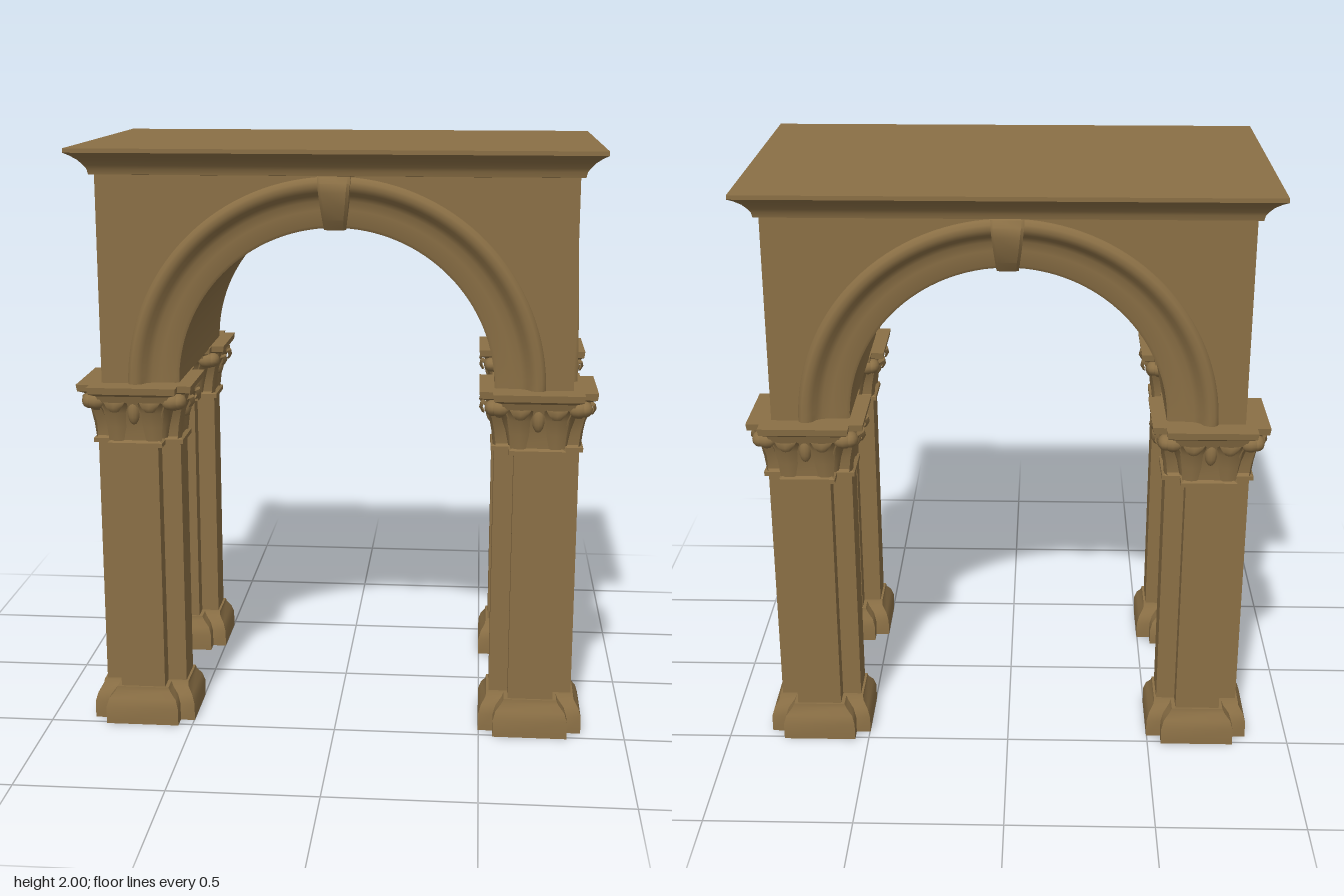
import * as THREE from 'three';
import { toCreasedNormals } from 'three/addons/utils/BufferGeometryUtils.js';

const SPRING = 1.21, WALL_X = 0.79, WALL_Z = 0.452, VAULT_R = 0.53;

// Skin between successive rows of [x, y, z] points
function loft(rows, closed = false, crease = 0.6) {
  const n = rows[0].length, index = [];
  for (let r = 0; r < rows.length - 1; r++) {
    for (let i = 0; i < (closed ? n : n - 1); i++) {
      const j = (i + 1) % n, a = r * n + i, b = r * n + j;
      index.push(a, a + n, b, b, a + n, b + n);
    }
  }
  const g = new THREE.BufferGeometry();
  g.setAttribute('position', new THREE.Float32BufferAttribute(rows.flat(2), 3));
  g.setIndex(index);
  return toCreasedNormals(g, crease);
}

// Rectangle with re-entrant corners, at height y
function notched(hx, hz, n, y) {
  const corner = [[hx, hz - n], [hx - n, hz - n], [hx - n, hz]];
  const pts = [];
  for (const [sx, sz] of [[1, 1], [-1, 1], [-1, -1], [1, -1]]) {
    const c = corner.map(([x, z]) => [x * sx, y, z * sz]);
    pts.push(...(sx * sz > 0 ? c : c.reverse()));
  }
  return pts;
}

const rectangle = (hx, hz, y) => [[hx, y, -hz], [hx, y, hz], [-hx, y, hz], [-hx, y, -hz]];

// Softly pointed arch as [z, y] points for a given half width
function pointedArch(h, steps = 48) {
  const pts = [];
  for (let i = 0; i <= steps; i++) {
    const t = Math.sin(Math.PI * i / steps);
    const w = Math.pow(Math.max(0, 1 - Math.pow(t, 1.75)), 0.6);
    pts.push([h * w * (i * 2 < steps ? 1 : -1), SPRING + (h + 0.22) * t]);
  }
  return pts;
}

export function createModel() {
  const model = new THREE.Group();
  const stone = new THREE.MeshStandardMaterial({ color: 0x8a6f45, side: THREE.DoubleSide });
  stone.name = 'brown stone';
  const add = (parent, name, geometry) => {
    const mesh = new THREE.Mesh(geometry, stone);
    mesh.name = name;
    parent.add(mesh);
    return mesh;
  };

  // Columns: hollow base, shaft and leafy capital
  const baseProfile = [[0.177, 0.162, 0.05, 0], [0.177, 0.162, 0.05, 0.06], [0.168, 0.152, 0.05, 0.09],
    [0.152, 0.138, 0.055, 0.115], [0.15, 0.136, 0.06, 0.13], [0.142, 0.128, 0.065, 0.13]];
  const shaftProfile = [[0.142, 0.128, 0.065, 0.12], [0.142, 0.128, 0.065, 1.0]];
  const capitalProfile = [[0.142, 0.128, 0.065, 1.0], [0.154, 0.142, 0.06, 1.0], [0.154, 0.142, 0.06, 1.015],
    [0.142, 0.13, 0.06, 1.022], [0.143, 0.133, 0.06, 1.07], [0.153, 0.145, 0.055, 1.12],
    [0.172, 0.165, 0.05, 1.18], [0.192, 0.182, 0.045, 1.19], [0.195, 0.185, 0.045, 1.213], [0, 0, 0, 1.213]];
  const section = p => notched(p[0], p[1], p[2], p[3]);
  const baseGeo = loft(baseProfile.map(section), true);
  const shaftGeo = loft(shaftProfile.map(section), true);
  const capitalGeo = loft(capitalProfile.map(section), true);

  // Curled leaf: [outward, height, half width]
  const leafPath = [[0, 1.02, 0.03], [0.006, 1.07, 0.034], [0.016, 1.12, 0.042], [0.032, 1.155, 0.042],
    [0.044, 1.162, 0.036], [0.048, 1.145, 0.026], [0.038, 1.128, 0.014]];
  const leafGeo = loft(leafPath.map(([out, y, w]) => [-1, -0.5, 0, 0.5, 1].map(
    s => [s * w, y, out + 0.01 * (1 - s * s)])), false, 1.2);
  const knobGeo = new THREE.SphereGeometry(0.024, 12, 8);

  function column(x, z) {
    const g = new THREE.Group();
    g.name = 'column';
    g.position.set(x, 0, z);
    add(g, 'columnBase', baseGeo);
    add(g, 'shaft', shaftGeo);
    add(g, 'capital', capitalGeo);
    for (let k = 0; k < 4; k++) {
      const side = new THREE.Group();
      side.name = 'capitalOrnament';
      side.rotation.y = k * Math.PI / 2;
      const out = k % 2 ? 0.143 : 0.132;
      for (const s of [-1, 1]) {
        add(side, 'leaf', leafGeo).position.set(s * 0.06, 0, out - 0.006);
        const scroll = add(side, 'scroll', knobGeo);
        scroll.position.set(s * 0.128, 1.158, out + 0.008);
        scroll.scale.set(1.5, 1.1, 1.1);
      }
      const drop = add(side, 'pendant', knobGeo);
      drop.position.set(0, 1.125, out + 0.008);
      drop.scale.set(0.9, 1.9, 0.9);
      const cornerLeaf = add(side, 'cornerLeaf', leafGeo);
      cornerLeaf.rotation.y = Math.PI / 4;
      cornerLeaf.position.set(0.08, 0, 0.075);
      cornerLeaf.scale.z = 1.8;
      g.add(side);
    }
    model.add(g);
  }
  for (const x of [-0.675, 0.675]) for (const z of [-0.35, 0.35]) column(x, z);

  // Front and back walls around the round arch
  const frontShape = new THREE.Shape();
  frontShape.moveTo(WALL_X, SPRING);
  frontShape.lineTo(WALL_X, 1.93);
  frontShape.lineTo(-WALL_X, 1.93);
  frontShape.lineTo(-WALL_X, SPRING);
  frontShape.lineTo(-0.69, SPRING);
  frontShape.absarc(0, SPRING, 0.69, Math.PI, 0, true);
  const frontGeo = new THREE.ShapeGeometry(frontShape, 48);

  // Barrel vault with its moulded rims in one turned profile: [radius, z]
  const rim = [[0.70, 0.448], [0.697, 0.462], [0.685, 0.474], [0.668, 0.475], [0.65, 0.465], [0.638, 0.446],
    [0.62, 0.436], [0.59, 0.432], [0.54, 0.432], [VAULT_R, 0.426]];
  const profile = [...rim, ...rim.map(([r, z]) => [r, -z]).reverse()];
  const vaultRows = profile.map(([r, z]) => Array.from({ length: 65 }, (_, i) => {
    const a = Math.PI * i / 64;
    return [r * Math.cos(a), SPRING + r * Math.sin(a), z];
  }));
  add(model, 'barrelVault', loft(vaultRows, false, 0.75));

  // Wedge keystone, bulging forward near its top: [half width, height, z]
  const keyRows = [[0.036, 1.735, 0.45], [0.04, 1.77, 0.472], [0.045, 1.81, 0.488],
    [0.05, 1.86, 0.504], [0.053, 1.89, 0.502], [0.054, 1.912, 0.485]];
  const keyGeo = loft(keyRows.map(([w, y, z]) => [
    [-w, y, 0.42], [-w, y, z - 0.008], [-w + 0.01, y, z], [w - 0.01, y, z], [w, y, z - 0.008], [w, y, 0.42]]));

  for (const turn of [0, Math.PI]) {
    const face = new THREE.Group();
    face.name = turn ? 'backFace' : 'frontFace';
    face.rotation.y = turn;
    add(face, 'archWall', frontGeo).position.z = WALL_Z;
    add(face, 'keystone', keyGeo);
    model.add(face);
  }

  // Side walls with a pointed recess running in to the vault
  const sideShape = new THREE.Shape();
  sideShape.moveTo(-WALL_Z, SPRING);
  sideShape.lineTo(-WALL_Z, 1.93);
  sideShape.lineTo(WALL_Z, 1.93);
  sideShape.lineTo(WALL_Z, SPRING);
  for (const [z, y] of pointedArch(0.305)) sideShape.lineTo(z, y);
  const sideGeo = new THREE.ShapeGeometry(sideShape);
  sideGeo.rotateY(Math.PI / 2);

  // Pointed moulding: [half width, x]
  const moulding = [[0.312, 0.788], [0.308, 0.802], [0.296, 0.811], [0.28, 0.809], [0.266, 0.795],
    [0.256, 0.78], [0.24, 0.774], [0.22, 0.77], [0.212, 0.76]];
  const recessRows = moulding.map(([h, x]) => pointedArch(h).map(([z, y]) => [x, y, z]));
  recessRows.push(pointedArch(0.212).map(
    ([z, y]) => [Math.sqrt((VAULT_R + 0.003) ** 2 - (y - SPRING) ** 2), y, z]));
  const recessGeo = loft(recessRows, false, 0.75);

  for (const turn of [0, Math.PI]) {
    const side = new THREE.Group();
    side.name = turn ? 'rightSide' : 'leftSide';
    side.rotation.y = turn;
    add(side, 'sideWall', sideGeo).position.x = WALL_X;
    add(side, 'pointedArch', recessGeo);
    model.add(side);
  }

  // Cornice and flat roof: [overhang, height]
  const cornice = [[0, 1.91], [0.018, 1.912], [0.022, 1.93], [0.03, 1.942], [0.045, 1.96],
    [0.066, 1.976], [0.084, 1.986], [0.084, 2.0]];
  const corniceRows = cornice.map(([o, y]) => rectangle(WALL_X - 0.003 + o, WALL_Z + o, y));
  add(model, 'cornice', loft(corniceRows, true));
  const roof = new THREE.PlaneGeometry(1.742, 1.072);
  roof.rotateX(-Math.PI / 2);
  add(model, 'roof', roof).position.y = 2;

  return model;
}
